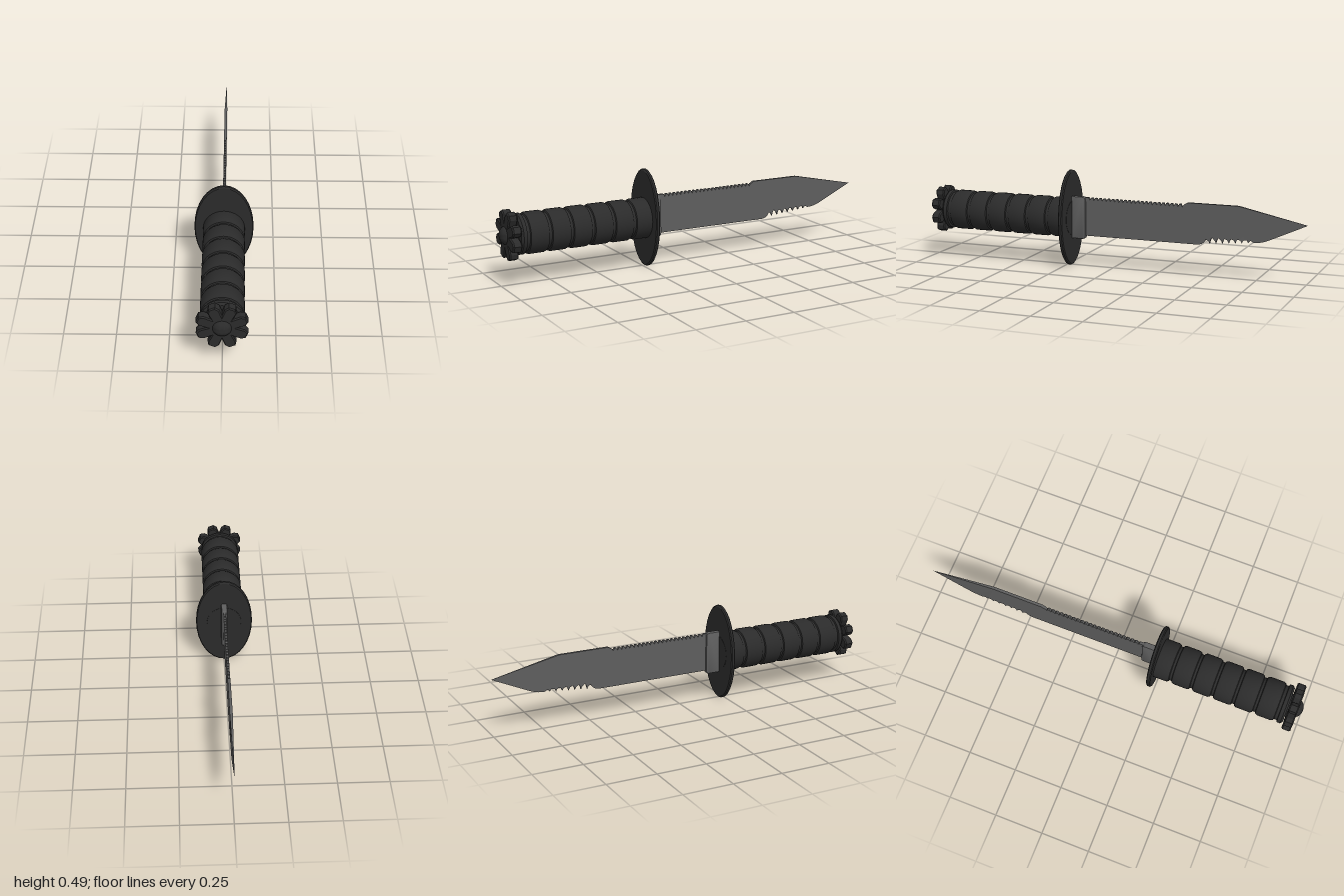
import * as THREE from 'three';
import { toCreasedNormals } from 'three/addons/utils/BufferGeometryUtils.js';

const CY = 0.246; // height of the handle axis

export function createModel() {
  const group = new THREE.Group();
  const black = new THREE.MeshStandardMaterial({ color: 0x2b2b2b });
  black.name = 'gripBlack';
  const steel = new THREE.MeshStandardMaterial({ color: 0x5e5e5e });
  steel.name = 'bladeSteel';

  const add = (name, geometry, material, parent = group) => {
    const mesh = new THREE.Mesh(toCreasedNormals(geometry, 0.6), material);
    mesh.name = name;
    parent.add(mesh);
    return mesh;
  };
  // Lathe around the z axis from [radius, z] pairs, listed back to front
  const turned = (pairs, segments = 32) =>
    new THREE.LatheGeometry(pairs.map(([r, z]) => new THREE.Vector2(r, z)), segments).rotateX(Math.PI / 2);

  // Handle: six rounded bands with narrow grooves between them
  const grip = [[0, 0.22], [0.088, 0.22]];
  const pitch = 0.111;
  for (let i = 0; i < 6; i++) {
    const a = 0.226 + i * pitch, b = a + pitch - 0.012;
    grip.push([0.09, a], [0.097, a + 0.003], [0.102, a + 0.014], [0.102, b - 0.014], [0.097, b - 0.003], [0.09, b]);
  }
  grip.push([0.09, 0.895], [0.1, 0.897], [0.1, 0.915], [0.09, 0.925], [0, 0.925]);
  add('handle', turned(grip), black).position.y = CY;

  // Guard: thin oval disc with a softened rim
  const guard = turned([[0, 0.221], [0.97, 0.221], [1, 0.226], [1, 0.237], [0.97, 0.242], [0, 0.242]]);
  guard.scale(0.145, 0.246, 1);
  add('guard', guard, black).position.y = CY;

  // Pommel: hub, dome and eight spokes
  const pommel = new THREE.Group();
  pommel.name = 'pommel';
  pommel.position.y = CY;
  group.add(pommel);
  add('pommelHub', turned([[0, 0.92], [0.06, 0.92], [0.06, 0.965], [0, 0.965]], 24), black, pommel);
  const dome = [];
  for (let i = 0; i <= 8; i++) {
    const t = (i / 8) * Math.PI / 2;
    dome.push([0.046 * Math.cos(t), 0.965 + 0.035 * Math.sin(t)]);
  }
  add('pommelDome', turned(dome, 24), black, pommel);

  const spokeShape = new THREE.Shape([
    [0.03, -0.02], [0.1, -0.023], [0.116, -0.013], [0.116, 0.013], [0.1, 0.023], [0.03, 0.02],
  ].map(([x, y]) => new THREE.Vector2(x, y)));
  for (let i = 0; i < 8; i++) {
    const geo = new THREE.ExtrudeGeometry(spokeShape, {
      depth: 0.034, bevelEnabled: true, bevelThickness: 0.006, bevelSize: 0.005, bevelSegments: 1,
    });
    geo.translate(0, 0, 0.936);
    geo.rotateZ((i + 0.5) * Math.PI / 4);
    add('pommelSpoke' + (i + 1), geo, black, pommel);
  }

  // Collar where the blade meets the guard
  const c = new THREE.Shape();
  c.moveTo(-0.225, 0.14);
  c.lineTo(-0.165, 0.14);
  c.quadraticCurveTo(-0.147, 0.14, -0.147, 0.16);
  c.lineTo(-0.147, 0.34);
  c.quadraticCurveTo(-0.147, 0.358, -0.165, 0.358);
  c.lineTo(-0.225, 0.358);
  const collar = new THREE.ExtrudeGeometry(c, {
    depth: 0.018, bevelEnabled: true, bevelThickness: 0.006, bevelSize: 0.006, bevelOffset: -0.006, bevelSegments: 2,
  });
  collar.translate(0, 0, -0.009).rotateY(Math.PI / 2);
  add('bladeCollar', collar, steel);

  // Blade outline in (distance towards the tip, height)
  const b = new THREE.Shape();
  b.moveTo(-0.2, 0.157);
  b.lineTo(0.45, 0.157);
  b.quadraticCurveTo(0.48, 0.16, 0.492, 0.186);
  // Scalloped serrations along the edge
  const scallops = 7, s0 = 0.492, s1 = 0.72, step = (s1 - s0) / scallops;
  for (let i = 0; i < scallops; i++) {
    const u = s0 + i * step, tip = 0.166 + i * 0.003;
    b.lineTo(u + step * 0.4, tip + 0.014);
    b.lineTo(u + step * 0.6, tip);
    b.quadraticCurveTo(u + step * 0.75, 0.195, u + step, 0.196);
  }
  b.lineTo(0.735, 0.188);
  b.quadraticCurveTo(0.775, 0.188, 0.815, 0.207);
  b.lineTo(1, 0.291);
  b.lineTo(0.655, 0.364);
  b.lineTo(0.395, 0.364);
  b.lineTo(0.375, 0.352);
  // Fine saw teeth along the spine
  const teeth = 23, pitchT = 0.515 / teeth;
  for (let i = 0; i < teeth; i++) {
    const u = 0.375 - i * pitchT;
    b.lineTo(u - pitchT * 0.3, 0.341);
    b.lineTo(u - pitchT * 0.6, 0.355);
    b.lineTo(u - pitchT, 0.355);
  }
  b.lineTo(-0.2, 0.355);
  const blade = new THREE.ExtrudeGeometry(b, { depth: 0.014, bevelEnabled: false, curveSegments: 5 });
  blade.translate(0, 0, -0.007);
  // Thin the blade towards the edge and the tip
  const p = blade.attributes.position;
  for (let i = 0; i < p.count; i++) {
    const edge = THREE.MathUtils.mapLinear(p.getY(i), 0.157, 0.364, 0.6, 1);
    const tip = THREE.MathUtils.clamp((1.02 - p.getX(i)) / 0.35, 0.08, 1);
    p.setZ(i, p.getZ(i) * edge * tip);
  }
  blade.rotateY(Math.PI / 2);
  add('blade', blade, steel);

  return group;
}
